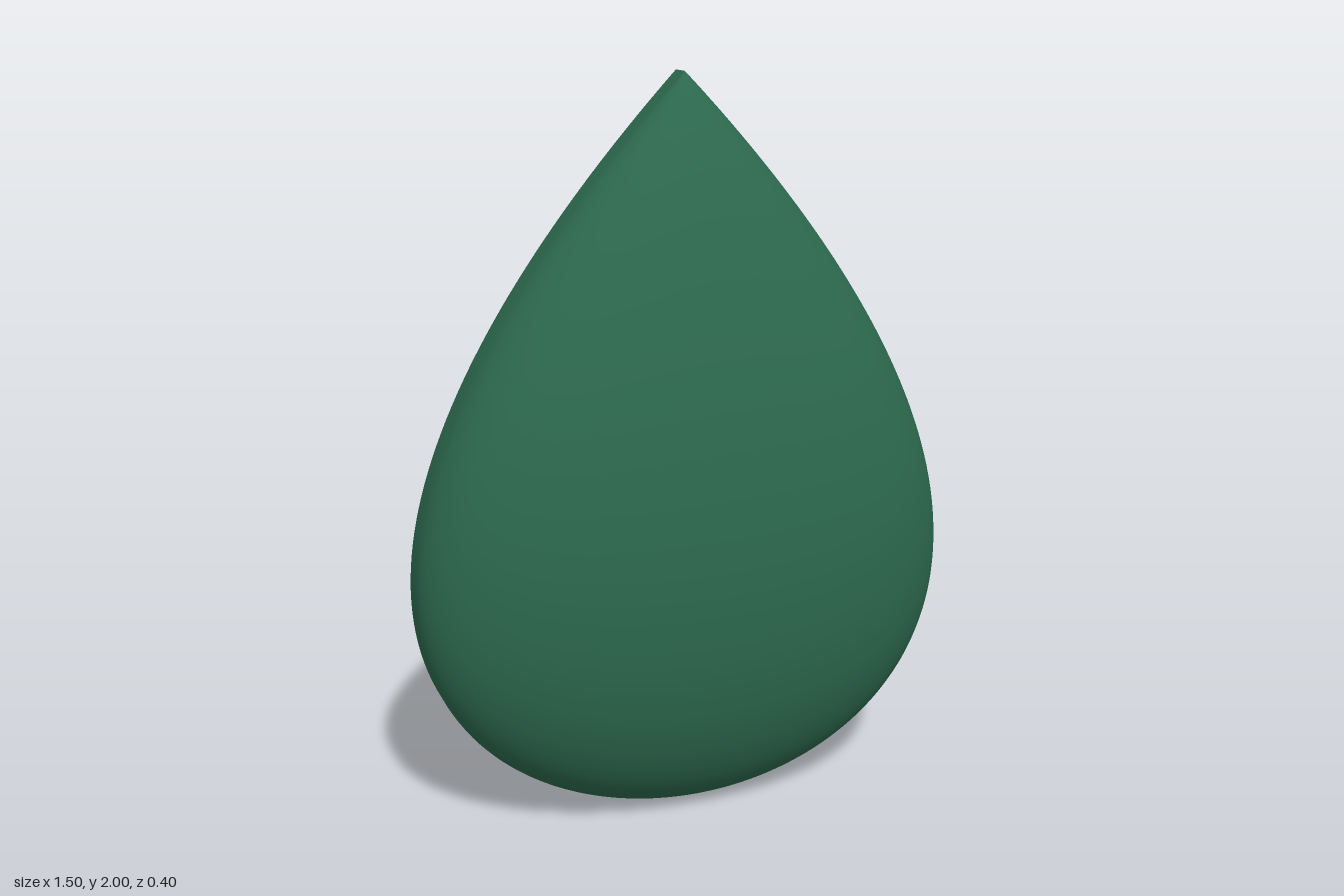
import * as THREE from 'three';

const ROWS = 96, DOME = 48, BEVEL = 5;
const RIM_Z = -0.12, BACK_Z = -0.2, R = 0.02, CENTRE_Y = 0.8;

// Teardrop outline: t = 0 at the pointed top, PI at the round bottom
const height = (t) => 1 + Math.cos(t);
const halfWidth = (t) => 0.974 * Math.sin(t) * Math.sin(t / 2);
const depth = (t) => 0.385 * Math.sin(t) * Math.pow(Math.sin(t / 2), 0.7);
const inset = 1 - R / 0.75;

// Half of the rim section, from the back edge forward: [outline scale, z]
function rimSection() {
  const pts = [];
  for (let i = 0; i <= BEVEL; i++) {
    const a = (i / BEVEL) * Math.PI / 2;
    pts.push([inset + (1 - inset) * Math.sin(a), BACK_Z + R * (1 - Math.cos(a))]);
  }
  pts.push([1, (BACK_Z + R + RIM_Z) / 2]);
  return pts;
}

// Domed front, upright side and rounded back edge as one smooth grid
function bodyGeometry() {
  const rim = rimSection(), pos = [], index = [];
  const cols = rim.length * 2 + DOME + 1;
  for (let i = 0; i <= ROWS; i++) {
    const t = (i / ROWS) * Math.PI;
    const y = height(t), w = halfWidth(t), d = depth(t);
    const rimPoint = (side) => ([k, z]) => pos.push(side * w * k, CENTRE_Y + (y - CENTRE_Y) * k, z);
    rim.forEach(rimPoint(1));
    for (let j = 0; j <= DOME; j++) {
      const a = (j / DOME) * Math.PI;
      pos.push(w * Math.cos(a), y, RIM_Z + d * Math.sin(a));
    }
    [...rim].reverse().forEach(rimPoint(-1));
  }
  for (let i = 0; i < ROWS; i++) {
    for (let j = 0; j < cols - 1; j++) {
      const a = i * cols + j, b = a + cols;
      index.push(a, a + 1, b, a + 1, b + 1, b);
    }
  }
  const geo = new THREE.BufferGeometry();
  geo.setAttribute('position', new THREE.Float32BufferAttribute(pos, 3));
  geo.setIndex(index);
  geo.computeVertexNormals();
  return geo;
}

// Flat back, the outline drawn in by the rounded edge
function backGeometry() {
  const pts = [];
  for (let i = 0; i < ROWS * 2; i++) {
    const t = (i / ROWS) * Math.PI;
    const s = t <= Math.PI ? t : 2 * Math.PI - t;
    const x = halfWidth(s) * (t <= Math.PI ? -1 : 1);
    pts.push(new THREE.Vector2(x * inset, CENTRE_Y + (height(s) - CENTRE_Y) * inset));
  }
  return new THREE.ShapeGeometry(new THREE.Shape(pts)).rotateY(Math.PI).translate(0, 0, BACK_Z);
}

export function createModel() {
  const group = new THREE.Group();
  group.name = 'teardrop';
  const material = new THREE.MeshStandardMaterial({ color: 0x2d6a4f });
  const add = (name, geo) => {
    const mesh = new THREE.Mesh(geo, material);
    mesh.name = name;
    group.add(mesh);
  };
  add('domedBody', bodyGeometry());
  add('flatBack', backGeometry());
  return group;
}
